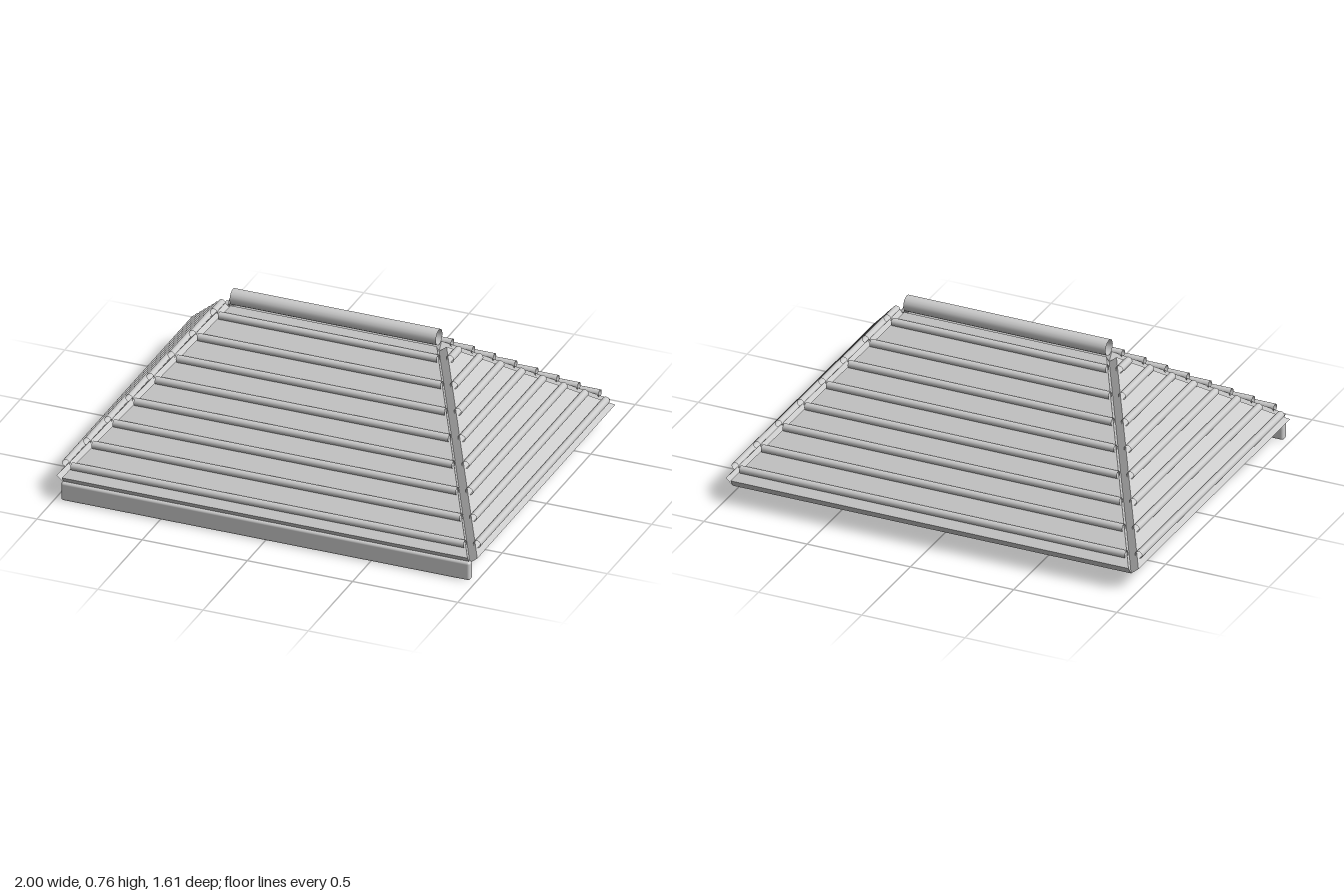
import * as THREE from 'three';
import { RoundedBoxGeometry } from 'three/addons/geometries/RoundedBoxGeometry.js';

const EAVE_X = 0.964, EAVE_Z = 0.778;   // half size of the roof at the eaves
const EAVE_Y = 0.079, RIDGE_Y = 0.65;   // heights of the underside
const RIDGE_X = 0.49;                   // half length of the ridge
const THICK = 0.046, ROWS = 8, ROLL_R = 0.0175;

const material = new THREE.MeshStandardMaterial({ color: 0xcccccc });
const openMaterial = new THREE.MeshStandardMaterial({ color: 0xcccccc, side: THREE.DoubleSide });

// Open tube lying along x
function roll(name, radius, length, y, z) {
  const geometry = new THREE.CylinderGeometry(radius, radius, length, 16, 1, true);
  geometry.rotateZ(Math.PI / 2);
  const mesh = new THREE.Mesh(geometry, openMaterial);
  mesh.name = name;
  mesh.position.set(0, y, z);
  return mesh;
}

// One roof slope: a slab drawn in its own plane, with rows of rolls on it, then tilted inward
function slope(name, eaveHalf, topHalf, distance, run, turn) {
  const group = new THREE.Group();
  group.name = name;
  const rise = RIDGE_Y - EAVE_Y;
  const length = Math.hypot(run, rise);

  const outline = new THREE.Shape();
  outline.moveTo(-eaveHalf, 0);
  outline.lineTo(eaveHalf, 0);
  outline.lineTo(topHalf, length);
  if (topHalf > 0) outline.lineTo(-topHalf, length);
  outline.closePath();
  const slab = new THREE.Mesh(
    new THREE.ExtrudeGeometry(outline, { depth: THICK, bevelEnabled: false }), material);
  slab.name = 'roofSlab';
  group.add(slab);

  for (let i = 0; i < ROWS; i++) {
    const t = (i + 0.5) / ROWS;
    const half = THREE.MathUtils.lerp(eaveHalf, topHalf, t);
    group.add(roll('tileRoll', ROLL_R, half * 2, t * length, THICK + 0.009));
  }

  group.rotation.set(-Math.atan2(run, rise), turn, 0, 'YXZ');
  group.position.set(Math.sin(turn) * distance, EAVE_Y, Math.cos(turn) * distance);
  return group;
}

export function createModel() {
  const model = new THREE.Group();
  model.name = 'hipRoof';

  // Four slopes
  const sideRun = EAVE_X - RIDGE_X;
  model.add(
    slope('frontSlope', EAVE_X, RIDGE_X, EAVE_Z, EAVE_Z, 0),
    slope('backSlope', EAVE_X, RIDGE_X, EAVE_Z, EAVE_Z, Math.PI),
    slope('leftSlope', EAVE_Z, 0, EAVE_X, sideRun, Math.PI / 2),
    slope('rightSlope', EAVE_Z, 0, EAVE_X, sideRun, -Math.PI / 2));

  // Ridge cap along the top
  model.add(roll('ridgeCap', 0.037, RIDGE_X * 2, 0.72, 0));

  // Fascia board under the front eave
  const fascia = new THREE.Mesh(new RoundedBoxGeometry(1.944, 0.09, 0.035, 3, 0.012), material);
  fascia.name = 'frontFascia';
  fascia.position.set(0, 0.045, 0.783);
  model.add(fascia);

  return model;
}
